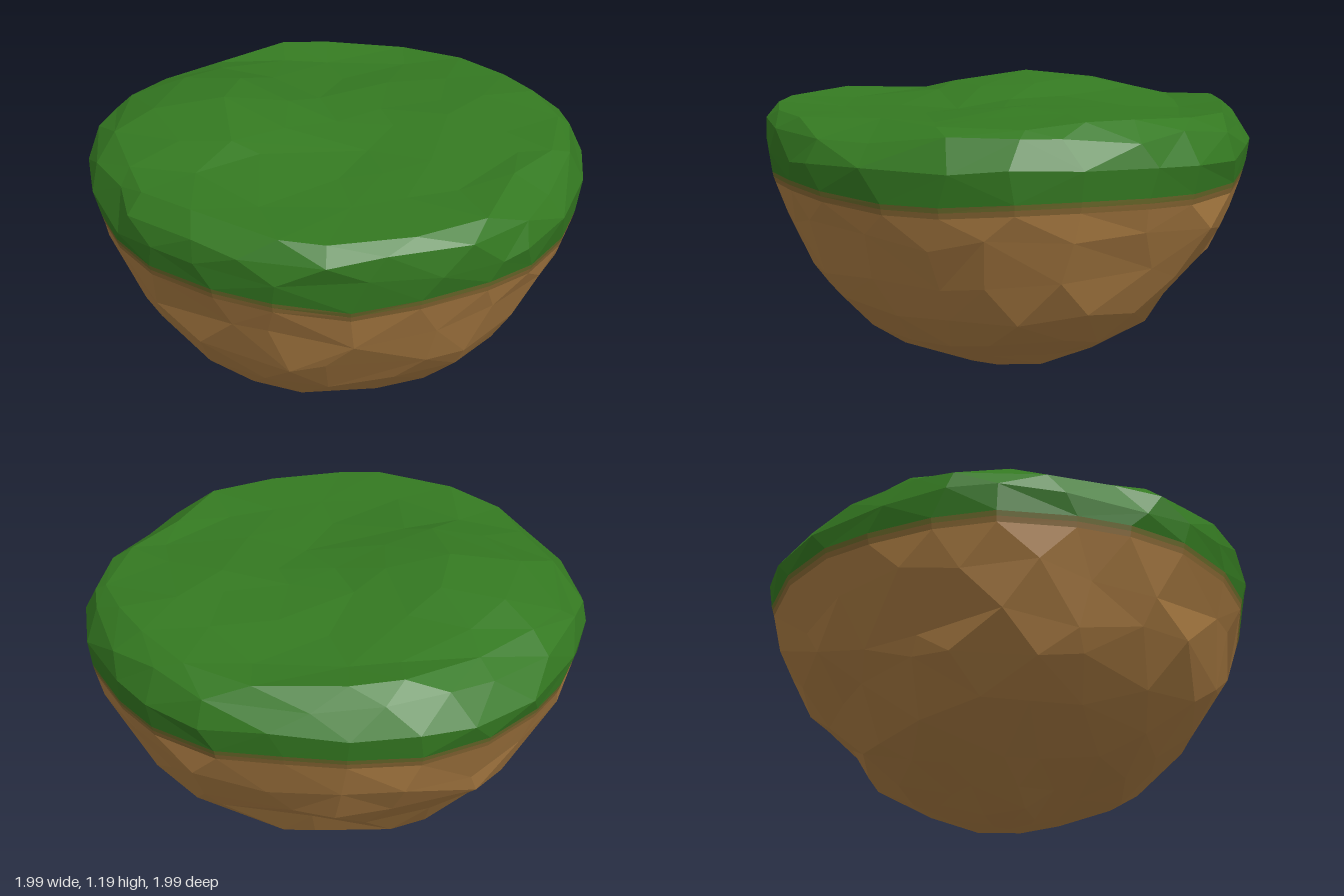
import * as THREE from 'three';

const TAU = Math.PI * 2;

// Repeatable noise in -1..1
function noise(a, b) {
  const s = Math.sin(a * 127.1 + b * 311.7 + 4.2) * 43758.5453;
  return (s - Math.floor(s)) * 2 - 1;
}

// Profile rows: height, then radius towards +x, +z, -x, -z
const PROFILE = [
  [0.00, 0.06, 0.08, 0.18, 0.06],
  [0.06, 0.31, 0.24, 0.27, 0.24],
  [0.13, 0.43, 0.49, 0.43, 0.44],
  [0.22, 0.64, 0.61, 0.65, 0.58],
  [0.36, 0.78, 0.76, 0.78, 0.68],
  [0.50, 0.86, 0.86, 0.86, 0.84],
  [0.66, 0.95, 0.93, 0.93, 0.92],
  [0.82, 0.99, 0.985, 0.98, 0.98],
  [0.93, 1.01, 1.01, 1.01, 1.01],
  [1.04, 0.98, 1.005, 0.98, 0.96],
  [1.12, 0.87, 0.94, 0.88, 0.85],
];

// Plan outline and height of the grass edge, every 15 degrees from +x towards +z
const OUTLINE = [
  1.00, 0.985, 0.97, 0.985, 0.99, 0.985, 0.985, 1.01, 1.00, 1.00, 1.00, 0.97,
  1.00, 1.00, 0.985, 0.99, 1.005, 1.005, 1.005, 0.955, 0.985, 1.00, 0.98, 0.995,
];
const GRASS_EDGE = [
  0.84, 0.82, 0.805, 0.83, 0.84, 0.87, 0.80, 0.85, 0.865, 0.865, 0.86, 0.86,
  0.85, 0.85, 0.84, 0.86, 0.86, 0.85, 0.86, 0.86, 0.84, 0.825, 0.83, 0.84,
];

// Worn places on the rim: angle and depth
const BEVELS = [[0.66, 0.13], [2.95, 0.06], [4.15, 0.09]];

// Reads one of the round tables at any angle
function around(table, a) {
  const f = ((a / TAU) % 1) * table.length, i = Math.floor(f);
  return THREE.MathUtils.lerp(table[i], table[(i + 1) % table.length], f - i);
}

function radiusAt(a, y) {
  let k = 0;
  while (k < PROFILE.length - 2 && y > PROFILE[k + 1][0]) k++;
  const p = PROFILE[k], q = PROFILE[k + 1];
  const t = THREE.MathUtils.clamp((y - p[0]) / (q[0] - p[0]), 0, 1);
  const c = Math.cos(a), s = Math.sin(a);
  const i = c > 0 ? 1 : 3, j = s > 0 ? 2 : 4;
  const mix = (r) => r[i] * c * c + r[j] * s * s;
  const wear = Math.max(0, (y - 0.97) / 0.13);
  let scale = around(OUTLINE, a);
  for (const [at, depth] of BEVELS) scale -= wear * depth * Math.exp(-((a - at) ** 2) / 0.06);
  return THREE.MathUtils.lerp(mix(p), mix(q), t) * scale;
}

// Gentle hills on the grass
function hillHeight(x, z) {
  return 1.072
    + 0.115 * Math.exp(-((x + 0.45) ** 2) / 0.16 - ((z + 0.17) ** 2) / 0.25)
    + 0.05 * Math.exp(-((x - 0.55) ** 2 + (z + 0.1) ** 2) / 0.13);
}

function polar(a, r, y) {
  return new THREE.Vector3(Math.cos(a) * r, y, Math.sin(a) * r);
}

// A ring is a list of {a, p}; place(angle, index) gives each point
function makeRing(n, seed, wobble, place) {
  const ring = [];
  for (let i = 0; i < n; i++) {
    const a = (i + 0.4 + wobble * noise(i, seed)) / n * TAU;
    ring.push({ a, p: place(a, i) });
  }
  return ring;
}

function sideRing(n, seed, y, dy, dr) {
  return makeRing(n, seed, 0.3, (a, i) => {
    const h = Math.max(0, y + dy * noise(i, seed + 20));
    return polar(a, radiusAt(a, h) * (1 + dr * noise(i, seed + 40)), h);
  });
}

function topRing(n, seed, scale) {
  return makeRing(n, seed, 0.3, (a, i) => {
    const p = polar(a, scale * (1 + 0.07 * noise(i, seed + 20)), 0);
    p.y = hillHeight(p.x, p.z) + 0.01 * noise(i, seed + 40);
    return p;
  });
}

// Joins neighbouring rings, which may have different point counts
function skin(rings) {
  const out = [];
  const tri = (...pts) => pts.forEach((p) => out.push(p.x, p.y, p.z));
  for (let k = 0; k < rings.length - 1; k++) {
    const L = rings[k], U = rings[k + 1];
    const angle = (R, i) => R[i % R.length].a + Math.floor(i / R.length) * TAU;
    const point = (R, i) => R[i % R.length].p;
    let i = 0, j = 0;
    while (i < L.length || j < U.length) {
      const stepLower = j >= U.length || (i < L.length && angle(L, i + 1) <= angle(U, j + 1));
      if (stepLower) {
        if (L.length > 1) tri(point(L, i), point(U, j), point(L, i + 1));
        i++;
      } else {
        if (U.length > 1) tri(point(L, i), point(U, j), point(U, j + 1));
        j++;
      }
    }
  }
  const g = new THREE.BufferGeometry();
  g.setAttribute('position', new THREE.Float32BufferAttribute(out, 3));
  g.computeVertexNormals();
  return g;
}

export function createModel() {
  const model = new THREE.Group();
  model.name = 'floatingIsland';

  const add = (name, rings, colorName, color) => {
    const material = new THREE.MeshStandardMaterial({ color, flatShading: true });
    material.name = colorName;
    const mesh = new THREE.Mesh(skin(rings), material);
    mesh.name = name;
    model.add(mesh);
  };

  // Wavy borders between the grass, the two soil bands and the earth
  const border = (drop) => makeRing(24, 7, 0.1, (a) => {
    const y = around(GRASS_EDGE, a) - drop;
    return polar(a, radiusAt(a, y), y);
  });
  const grassEdge = border(0);
  const bandEdge = border(0.02);
  const earthEdge = border(0.042);

  // Rounded rocky underside
  add('earth', [
    [{ a: 0, p: new THREE.Vector3(-0.05, 0, 0.02) }],
    sideRing(7, 1, 0.005, 0.005, 0.03),
    sideRing(11, 2, 0.065, 0.01, 0.03),
    sideRing(14, 3, 0.135, 0.015, 0.03),
    sideRing(17, 4, 0.23, 0.025, 0.025),
    sideRing(19, 5, 0.37, 0.035, 0.025),
    sideRing(20, 16, 0.51, 0.04, 0.02),
    sideRing(21, 6, 0.66, 0.04, 0.015),
    earthEdge,
  ], 'earthBrown', 0xac7d43);

  // Narrow strips between earth and grass
  add('lowerSoilBand', [earthEdge, bandEdge], 'soilBrown', 0x8a6934);
  add('upperSoilBand', [bandEdge, grassEdge], 'soilOlive', 0x6b6a2a);

  // Grass rim and uneven top
  add('grass', [
    grassEdge,
    sideRing(24, 9, 0.94, 0.02, 0.003),
    sideRing(23, 10, 1.04, 0.02, 0.008),
    sideRing(20, 11, 1.1, 0.015, 0.012),
    topRing(16, 12, 0.69),
    topRing(12, 13, 0.46),
    topRing(6, 14, 0.23),
    [{ a: 0, p: new THREE.Vector3(0, hillHeight(0, 0), 0) }],
  ], 'grassGreen', 0x347921);

  return model;
}
